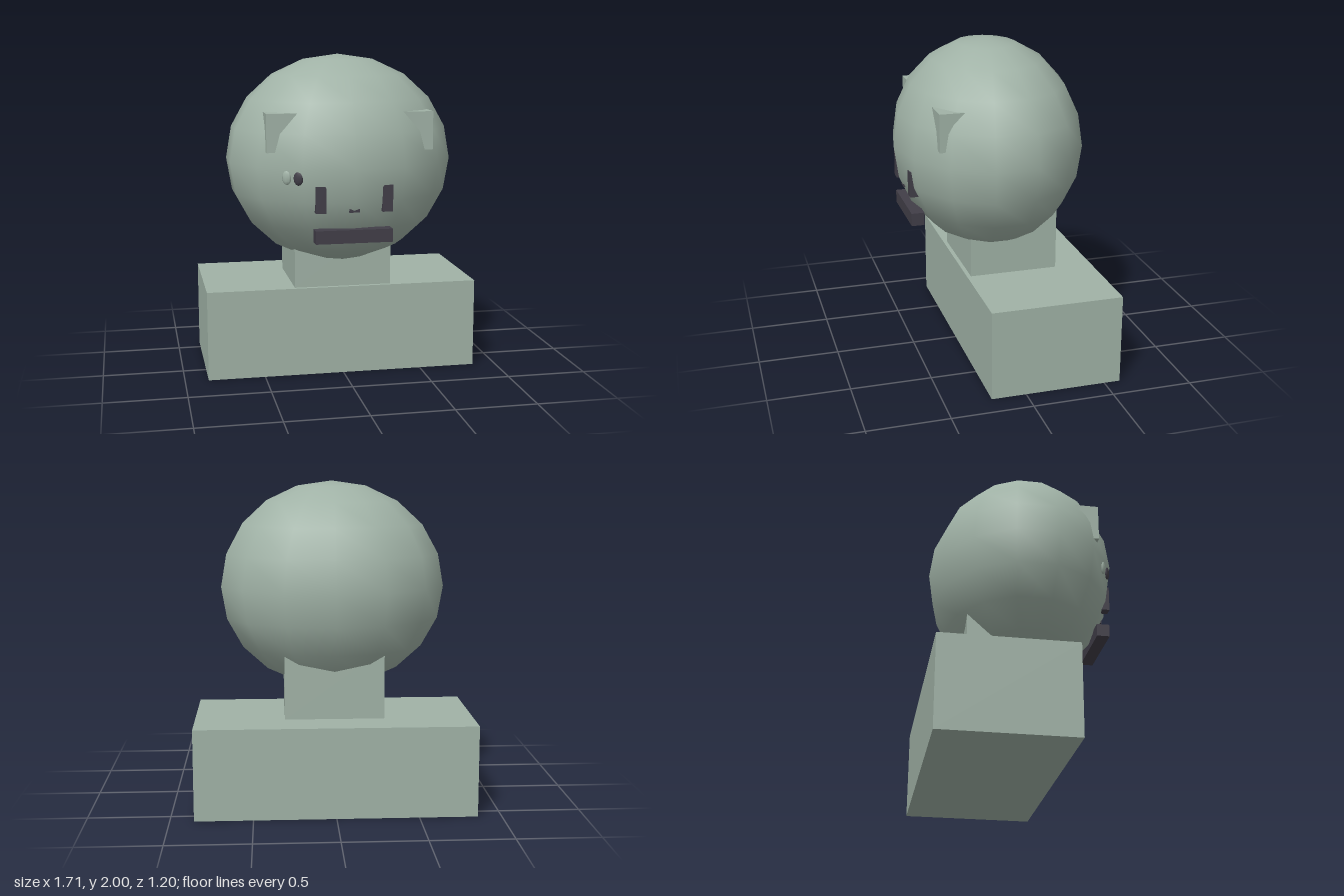
import * as THREE from 'three';

export function createModel() {
  const model = new THREE.Group();
  model.name = 'bearBust';

  const sage = new THREE.MeshStandardMaterial({ color: 0xa0b2a6 });
  sage.name = 'sage green';
  const charcoal = new THREE.MeshStandardMaterial({ color: 0x413e48 });
  charcoal.name = 'charcoal';

  const add = (name, geometry, material) => {
    const mesh = new THREE.Mesh(geometry, material);
    mesh.name = name;
    model.add(mesh);
    return mesh;
  };

  // Box given by its extents on each axis
  const box = (name, [x0, x1], [y0, y1], [z0, z1], material) => {
    const mesh = add(name, new THREE.BoxGeometry(x1 - x0, y1 - y0, z1 - z0), material);
    mesh.position.set((x0 + x1) / 2, (y0 + y1) / 2, (z0 + z1) / 2);
    return mesh;
  };

  // Body and neck
  box('body', [-0.855, 0.855], [0, 0.56], [-0.6, 0.215], sage);
  box('neck', [-0.305, 0.305], [0.56, 1.0], [-0.365, 0.19], sage);

  // Head: a coarse smooth ellipsoid with a column of vertices facing front
  const headShape = new THREE.SphereGeometry(1, 14, 10, Math.PI / 2);
  headShape.scale(0.71, 0.65, 0.588);
  add('head', headShape, sage).position.set(0, 1.35, 0.008);

  // Ears and eyes, mostly sunk into the head
  for (const [side, s] of [['left', 1], ['right', -1]]) {
    const span = (a, b) => (s > 0 ? [a, b] : [-b, -a]);
    box(side + 'Ear', span(0.3, 0.505), [1.44, 1.67], [0.2, 0.425], sage);
    box(side + 'Eye', span(0.17, 0.232), [1.09, 1.25], [0.46, 0.548], charcoal);
  }

  // Nose and mouth
  box('nose', [-0.032, 0.032], [1.09, 1.112], [0.49, 0.545], charcoal);
  box('mouth', [-0.233, 0.233], [0.905, 0.985], [0.462, 0.542], charcoal);

  // Two small spots on the right cheek
  const spot = (name, x, z, width, material) => {
    const shape = new THREE.SphereGeometry(1, 8, 6);
    shape.scale(width, 0.045, 0.014);
    const mesh = add(name, shape, material);
    mesh.position.set(x, 1.3, z);
    mesh.rotation.y = -0.58;
  };
  spot('darkSpot', -0.33, 0.512, 0.032, charcoal);
  spot('paleSpot', -0.393, 0.472, 0.03, sage);

  return model;
}
